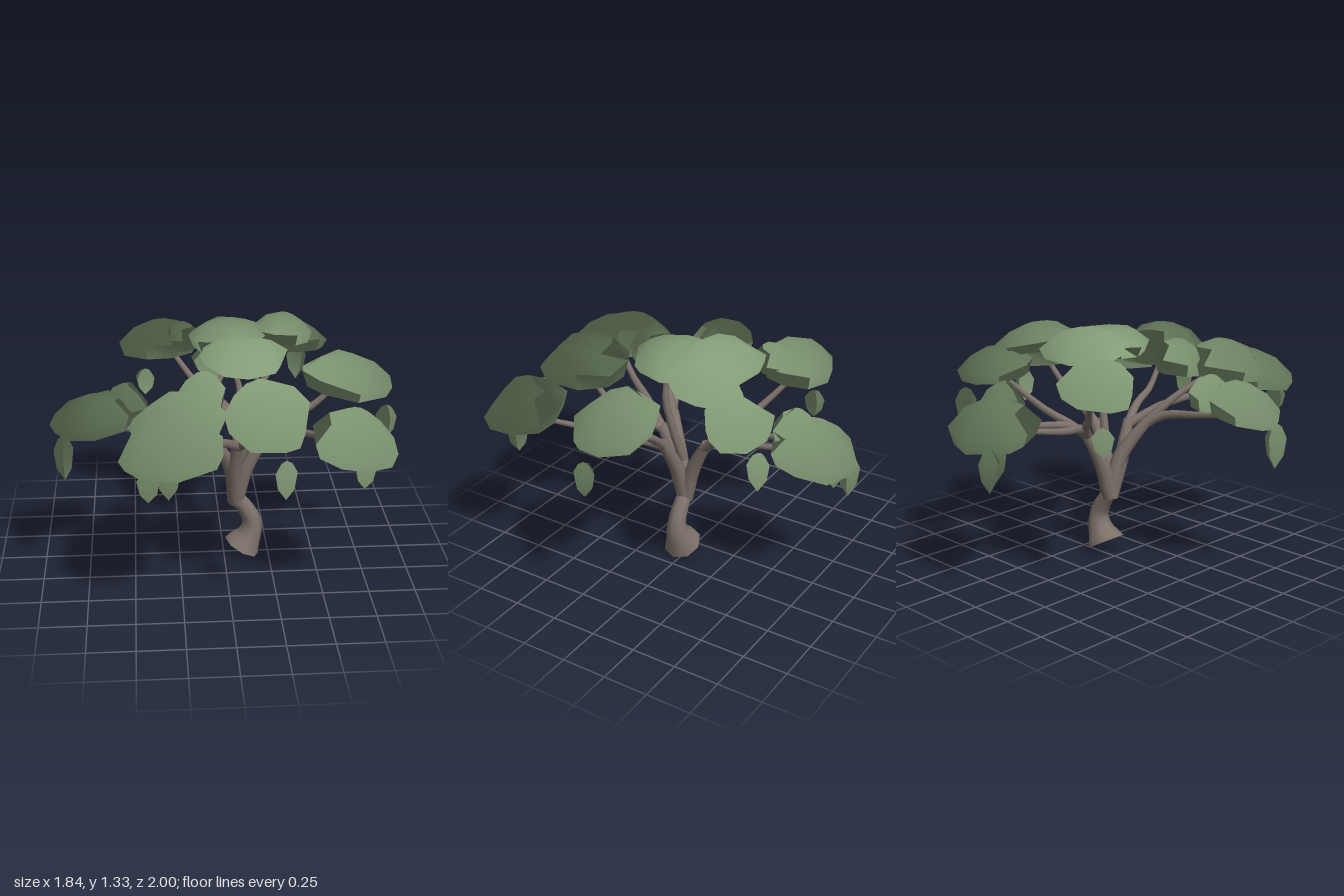
import * as THREE from 'three';
import { toCreasedNormals } from 'three/addons/utils/BufferGeometryUtils.js';

const bark = new THREE.MeshStandardMaterial({ color: 0x7d726a });
bark.name = 'bark brown';
const leaf = new THREE.MeshStandardMaterial({ color: 0x839b76 });
leaf.name = 'leaf green';

const crownCentre = new THREE.Vector3(0.06, 0.85, 0);

function seeded(seed) {
  let s = seed * 7919 + 13;
  return () => (s = (s * 16807) % 2147483647) / 2147483647;
}

// Skin over rings of equal length (counter-clockwise about the travel direction), capped at both ends
function loft(rings) {
  const n = rings[0].length;
  const pos = [], index = [];
  rings.forEach((ring) => ring.forEach((p) => pos.push(p.x, p.y, p.z)));
  for (let r = 0; r < rings.length - 1; r++) {
    for (let i = 0; i < n; i++) {
      const a = r * n + i, b = r * n + (i + 1) % n;
      index.push(a, b, a + n, b, b + n, a + n);
    }
  }
  [0, rings.length - 1].forEach((r) => {
    const c = rings[r].reduce((sum, p) => sum.add(p), new THREE.Vector3()).divideScalar(n);
    const k = pos.length / 3;
    pos.push(c.x, c.y, c.z);
    for (let i = 0; i < n; i++) {
      const a = r * n + i, b = r * n + (i + 1) % n;
      if (r === 0) index.push(k, b, a);
      else index.push(k, a, b);
    }
  });
  const geo = new THREE.BufferGeometry();
  geo.setAttribute('position', new THREE.Float32BufferAttribute(pos, 3));
  geo.setIndex(index);
  return geo;
}

// Soft foliage shading: normals point away from the middle of the crown
function crownNormals(geo) {
  const pos = geo.attributes.position;
  const normals = [];
  const v = new THREE.Vector3();
  for (let i = 0; i < pos.count; i++) {
    v.fromBufferAttribute(pos, i).sub(crownCentre).normalize();
    normals.push(v.x, v.y, v.z);
  }
  geo.setAttribute('normal', new THREE.Float32BufferAttribute(normals, 3));
  return geo;
}

// Tapered round limb along a smooth path; radii are spread evenly along it
function limb(points, radii, sides = 8, steps = 10) {
  const curve = new THREE.CatmullRomCurve3(points.map((p) => new THREE.Vector3(...p)));
  const frames = curve.computeFrenetFrames(steps, false);
  const rings = [];
  for (let s = 0; s <= steps; s++) {
    const f = (s / steps) * (radii.length - 1);
    const k = Math.min(Math.floor(f), radii.length - 2);
    const radius = THREE.MathUtils.lerp(radii[k], radii[k + 1], f - k);
    const centre = curve.getPointAt(s / steps);
    rings.push(Array.from({ length: sides }, (_, i) => {
      const a = (i / sides) * Math.PI * 2;
      return centre.clone()
        .addScaledVector(frames.normals[s], radius * Math.cos(a))
        .addScaledVector(frames.binormals[s], radius * Math.sin(a));
    }));
  }
  return toCreasedNormals(loft(rings), 1.1);
}

// Flat-bottomed foliage clump with an irregular outline, steep sides and a low peak
function pad([x0, x1, z0, z1, y0, y1], seed) {
  const rand = seeded(seed);
  const sides = 8;
  const outline = Array.from({ length: sides }, (_, i) => {
    const a = ((i + rand() * 0.5) / sides) * Math.PI * 2;
    const r = 0.9 + rand() * 0.2;
    return { x: r * Math.cos(a), z: -r * Math.sin(a), lift: (rand() - 0.5) * 0.2 };
  });
  // Fit the outline to its box
  const fit = (key, lo, hi) => {
    const values = outline.map((p) => p[key]);
    const min = Math.min(...values), max = Math.max(...values);
    outline.forEach((p) => { p[key] = THREE.MathUtils.mapLinear(p[key], min, max, lo, hi); });
  };
  fit('x', x0, x1);
  fit('z', z0, z1);

  const cx = (x0 + x1) / 2, cz = (z0 + z1) / 2;
  const out = new THREE.Vector2(cx - crownCentre.x, cz);
  const tilt = Math.min(0.13, out.length() * 0.3);
  out.normalize();
  const drop = tilt * Math.min(x1 - x0, z1 - z0) * 0.4;
  const h = y1 - y0 - drop;
  const layers = [[0.88, 0], [1, 0.38], [0.62, 0.8], [0.2, 1]];
  const rings = layers.map(([size, t]) => outline.map(({ x, z, lift }) => {
    const dx = (x - cx) * size, dz = (z - cz) * size;
    const wobble = t > 0 && t < 1 ? lift * h : 0;
    return new THREE.Vector3(cx + dx, y0 + drop + h * t + wobble - tilt * (dx * out.x + dz * out.y), cz + dz);
  }));
  return crownNormals(loft(rings));
}

export function createModel() {
  const tree = new THREE.Group();
  tree.name = 'tree';
  const add = (name, geo, mat) => {
    const mesh = new THREE.Mesh(geo, mat);
    mesh.name = name;
    tree.add(mesh);
  };

  // Crooked trunk with a flared, slanting foot
  add('trunk', limb(
    [[0.1, 0.06, 0.03], [0.145, 0.14, 0.03], [0.155, 0.22, 0.03], [0.11, 0.31, 0.03], [0.06, 0.37, 0.03]],
    [0.107, 0.068, 0.052, 0.047, 0.042]), bark);

  // Main limbs rising from the fork
  const fork = [0.065, 0.34, 0.03];
  const limbs = {
    frontLimb: [fork, [0.05, 0.55, 0.1], [0.07, 0.76, 0.18]],
    leftLimb: [fork, [0.035, 0.57, 0.08], [-0.07, 0.78, 0.19]],
    rightLimb: [fork, [0.12, 0.55, 0.05], [0.23, 0.75, 0.07]],
    backLimb: [fork, [0.075, 0.55, -0.03], [0.1, 0.74, -0.13]],
  };
  for (const [name, path] of Object.entries(limbs)) add(name, limb(path, [0.046, 0.042, 0.028]), bark);

  // Thin branches carrying the foliage
  const branches = [
    [[0.07, 0.73, 0.17], [0.12, 0.82, 0.3], [0.17, 0.88, 0.46], [0.19, 1.04, 0.58]],
    [[0.07, 0.73, 0.17], [-0.03, 0.83, 0.34], [-0.13, 0.88, 0.5], [-0.28, 0.98, 0.7]],
    [[-0.05, 0.75, 0.18], [-0.14, 0.88, 0.28], [-0.26, 1.03, 0.48]],
    [[-0.05, 0.75, 0.18], [-0.14, 0.81, 0.23], [-0.4, 0.86, 0.24], [-0.66, 0.91, 0.24]],
    [[0.21, 0.72, 0.07], [0.32, 0.79, 0.1], [0.44, 0.85, 0.3], [0.58, 0.91, 0.57]],
    [[0.21, 0.72, 0.07], [0.34, 0.83, 0.06], [0.48, 0.92, 0.06], [0.62, 1.05, 0.06]],
    [[0.1, 0.71, -0.11], [0.05, 0.78, -0.2], [-0.02, 0.82, -0.4], [0.05, 0.86, -0.65]],
    [[0.1, 0.71, -0.11], [0.1, 0.78, -0.2], [0.12, 0.83, -0.42], [0.1, 0.86, -0.65]],
    [[0.1, 0.71, -0.11], [0.13, 0.79, -0.2], [0.22, 0.88, -0.31], [0.38, 1.07, -0.47]],
    [[0.1, 0.71, -0.11], [0.03, 0.79, -0.19], [-0.1, 0.88, -0.29], [-0.28, 1.08, -0.45]],
    [[0.09, 0.6, 0.03], [0.15, 0.82, 0.06], [0.18, 1.0, 0.08], [0.15, 1.18, 0.07]],
  ];
  branches.forEach((path) => add('branch', limb(path, [0.027, 0.023, 0.018, 0.013], 7), bark));

  // Foliage pads: x range, z range, y range
  const pads = [
    [-0.14, 0.31, -1.0, -0.54, 0.8, 1.05],
    [0.02, 0.23, -0.8, -0.56, 0.92, 1.11],
    [-0.56, -0.11, -0.63, -0.25, 1.04, 1.25],
    [-0.33, -0.1, -0.48, -0.24, 1.1, 1.26],
    [0.22, 0.63, -0.67, -0.32, 1.04, 1.22],
    [-0.18, 0.27, -0.39, 0.02, 1.17, 1.33],
    [0.19, 0.5, -0.48, -0.06, 1.18, 1.33],
    [-0.13, 0.34, -0.14, 0.29, 1.15, 1.3],
    [0.41, 0.9, -0.15, 0.29, 0.99, 1.2],
    [0.4, 0.81, 0.47, 0.87, 0.88, 1.13],
    [-0.04, 0.4, 0.34, 0.83, 0.98, 1.24],
    [-0.56, -0.05, 0.53, 1.0, 0.91, 1.13],
    [-0.51, -0.01, 0.36, 0.84, 0.98, 1.2],
    [-0.27, -0.01, 0.21, 0.51, 1.02, 1.22],
    [-0.92, -0.46, 0.09, 0.43, 0.88, 1.08],
    [-0.66, -0.41, 0.07, 0.31, 0.92, 1.11],
  ];
  pads.forEach((box, i) => add('foliagePad', pad(box, i + 1), leaf));

  // Hanging tufts: x, z, bottom y, top y
  const profile = [[0, 0], [0.044, 0.3], [0.057, 0.68], [0.03, 0.92], [0, 1]].map((p) => new THREE.Vector2(...p));
  const tufts = [
    [-0.85, 0.33, 0.64, 0.89], [-0.42, 0.87, 0.76, 0.92], [-0.32, 0.75, 0.71, 0.91],
    [0.25, 0.84, 0.74, 0.95], [0.66, 0.7, 0.72, 0.9], [0.87, 0.11, 0.73, 0.93],
    [0.47, -0.65, 0.8, 1.02], [-0.03, -0.91, 0.6, 0.84], [0.0, -0.84, 0.64, 0.86],
    [-0.42, -0.5, 0.78, 0.94],
  ];
  tufts.forEach(([x, z, y0, y1], i) => {
    const geo = new THREE.LatheGeometry(profile, 6);
    geo.rotateY(i * 1.3).scale(1, y1 - y0, 1).translate(x, y0, z);
    add('hangingTuft', crownNormals(geo), leaf);
  });

  return tree;
}
